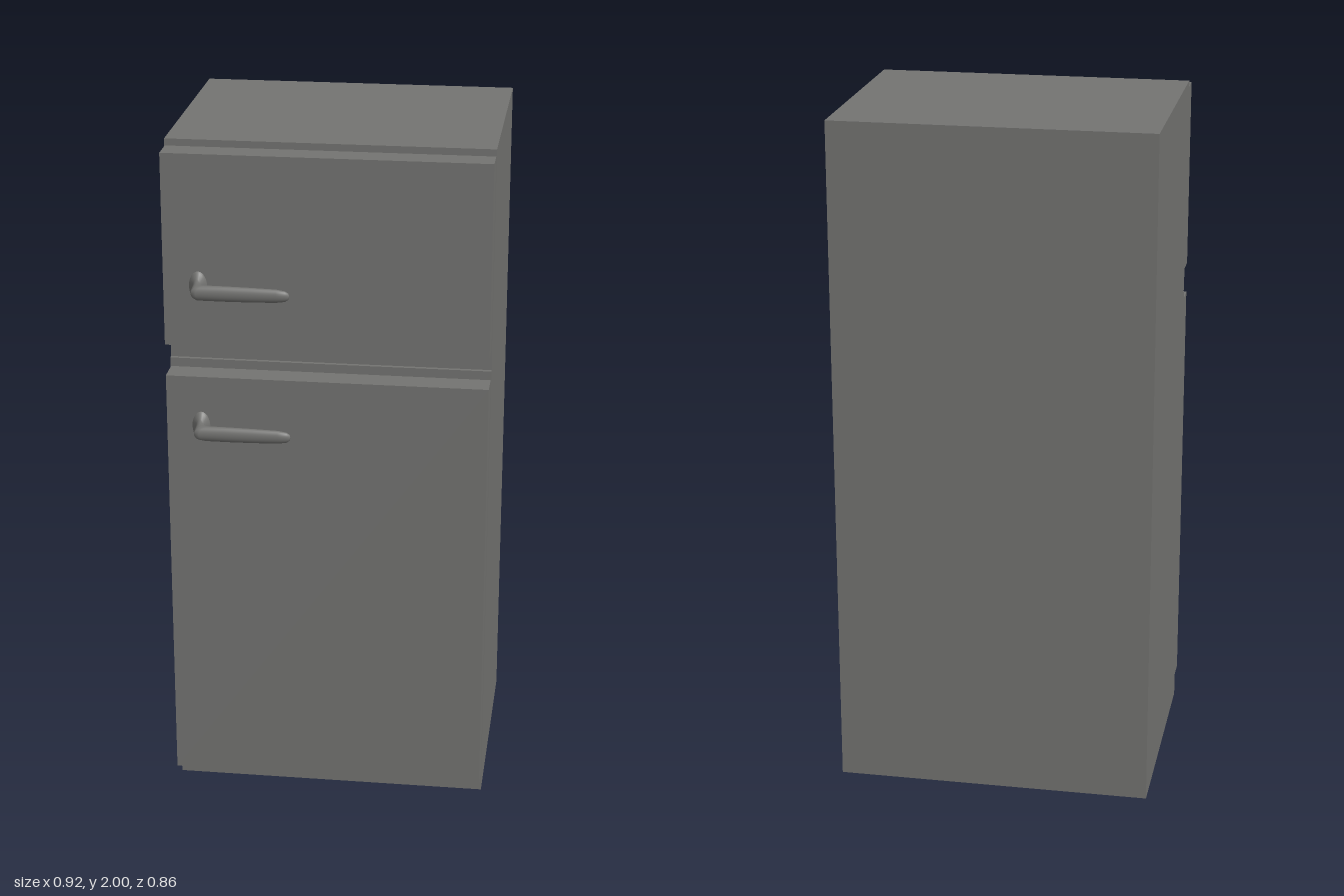
import * as THREE from 'three';

const grey = new THREE.MeshStandardMaterial({ color: 0x737371 });
const tan = new THREE.MeshStandardMaterial({ color: 0xffd497, side: THREE.DoubleSide });

const shapeOf = (points) => new THREE.Shape(points.map(([x, y]) => new THREE.Vector2(x, y)));

// Side profile of [z, y] points, extruded across the width
function extrudeAcross(name, profile, width) {
  const g = new THREE.ExtrudeGeometry(shapeOf(profile), { depth: width, bevelEnabled: false });
  g.translate(0, 0, -width / 2).rotateY(-Math.PI / 2);
  const mesh = new THREE.Mesh(g, grey);
  mesh.name = name;
  return mesh;
}

// Door slab between two heights
const door = (name, y0, y1) =>
  extrudeAcross(name, [[0.277, y0], [0.357, y0], [0.357, y1], [0.277, y1]], 0.919);

// Handle sections: outer x, z, inner x, z, half height
const SECTIONS = [
  [-0.386, 0.357, -0.334, 0.357, 0.043],
  [-0.383, 0.362, -0.337, 0.363, 0.039],
  [-0.373, 0.373, -0.345, 0.374, 0.025],
  [-0.371, 0.392, -0.342, 0.383, 0.021],
  [-0.371, 0.417, -0.333, 0.391, 0.021],
  [-0.368, 0.426, -0.322, 0.397, 0.021],
  [-0.355, 0.429, -0.300, 0.401, 0.022],
  [-0.280, 0.429, -0.260, 0.403, 0.022],
  [-0.200, 0.429, -0.200, 0.404, 0.021],
  [-0.130, 0.428, -0.130, 0.405, 0.019],
  [-0.105, 0.427, -0.105, 0.407, 0.015],
  [-0.096, 0.422, -0.096, 0.411, 0.009],
  [-0.094, 0.417, -0.094, 0.417, 0],
];

// Elliptical loft from the flared foot, round the bend, to the rounded tip
function handleGeometry(sides = 24) {
  const pos = [], index = [];
  SECTIONS.forEach(([ox, oz, ix, iz, h], r) => {
    for (let i = 0; i < sides; i++) {
      const a = (i / sides) * Math.PI * 2, c = Math.cos(a) / 2;
      pos.push((ox + ix) / 2 + (ix - ox) * c, h * Math.sin(a), (oz + iz) / 2 + (iz - oz) * c);
      if (r === SECTIONS.length - 1) continue;
      const p = r * sides + i, q = r * sides + ((i + 1) % sides);
      index.push(p, q, p + sides, q, q + sides, p + sides);
    }
  });
  const g = new THREE.BufferGeometry();
  g.setAttribute('position', new THREE.Float32BufferAttribute(pos, 3));
  g.setIndex(index);
  g.computeVertexNormals();
  return g;
}

export function createModel() {
  const model = new THREE.Group();
  model.name = 'refrigerator';

  // Cabinet with a shallow groove between the doors, and the two doors
  model.add(
    extrudeAcross('cabinet', [
      [-0.428, 0], [0.279, 0], [0.279, 1.355], [0.267, 1.355],
      [0.267, 1.4], [0.279, 1.4], [0.279, 2], [-0.428, 2],
    ], 0.922),
    door('freezerDoor', 1.422, 1.98),
    door('mainDoor', 0.061, 1.329),
  );

  // Kick strip under the main door, with slanted ends
  const strip = shapeOf([[-0.449, 0.036], [0.446, 0.036], [0.434, 0.063], [-0.436, 0.063]]);
  const kick = new THREE.Mesh(new THREE.ShapeGeometry(strip), tan);
  kick.position.z = 0.283;
  kick.name = 'kickStrip';
  model.add(kick);

  // Matching handles
  const geometry = handleGeometry();
  for (const [name, y] of [['freezerHandle', 1.6], ['mainHandle', 1.18]]) {
    const handle = new THREE.Mesh(geometry, grey);
    handle.position.y = y;
    handle.name = name;
    model.add(handle);
  }
  return model;
}
